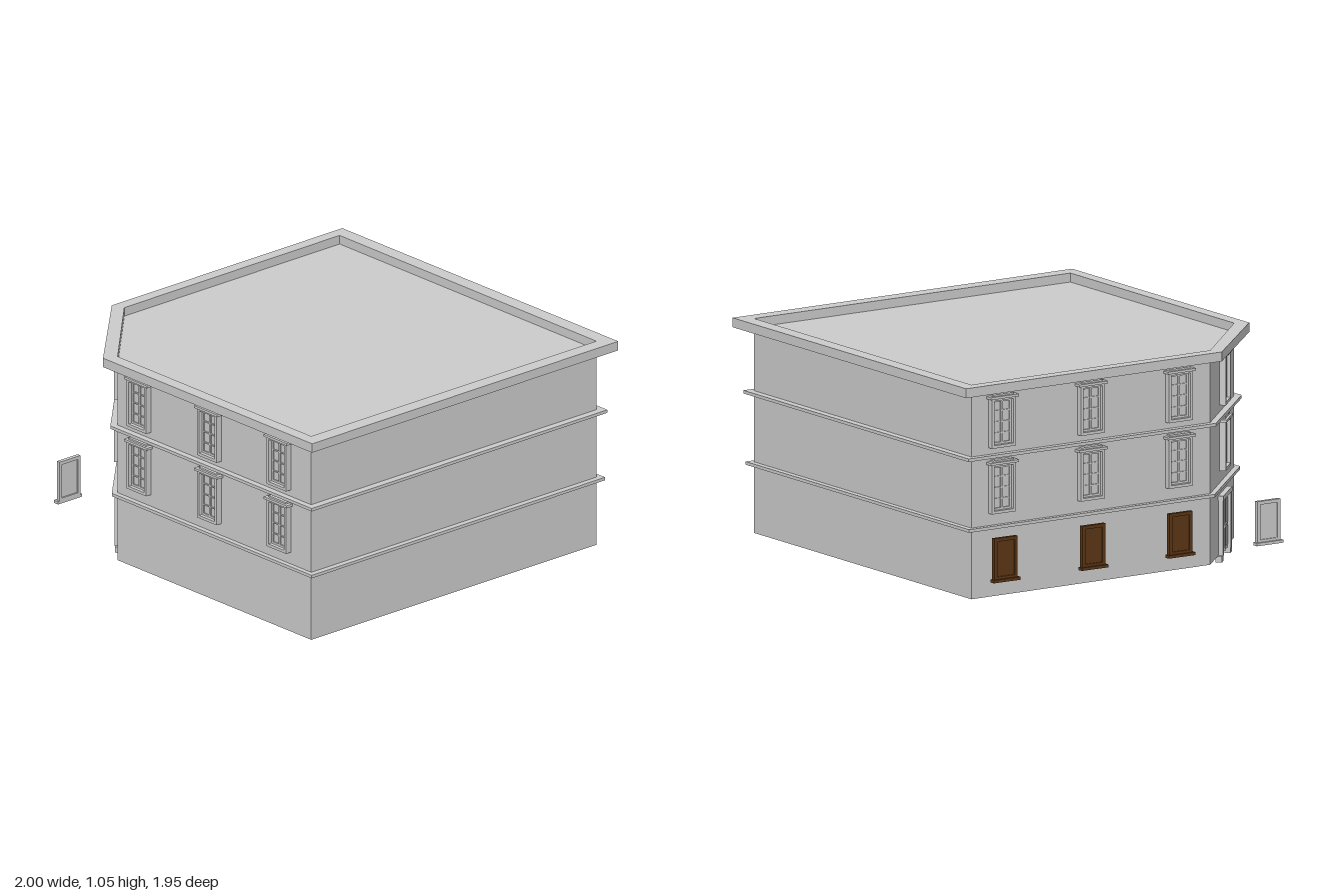
import * as THREE from 'three';

const stone = new THREE.MeshStandardMaterial({ color: 0xcccccc });
stone.name = 'stone grey';
const wood = new THREE.MeshStandardMaterial({ color: 0x5c3616 });
wood.name = 'dark brown wood';

// Plan corners as [x, z]: wall line and parapet line
const WALL = [[-0.885, -0.88], [-0.87, 0.475], [-0.43, 0.905], [0.92, 0.89], [0.905, -0.9]];
const EAVE = [[-0.945, -0.95], [-0.93, 0.5], [-0.46, 0.97], [0.995, 0.95], [0.975, -0.975]];

const between = (t) => WALL.map(([x, z], i) => [
  x + (EAVE[i][0] - x) * t, z + (EAVE[i][1] - z) * t]);
const points = (plan) => plan.map(([x, z]) => new THREE.Vector2(x, -z));

// Vertical prism over a plan, optionally hollow
function slab(name, plan, y0, y1, hole) {
  const shape = new THREE.Shape(points(plan));
  if (hole) shape.holes.push(new THREE.Path(points(hole)));
  const geo = new THREE.ExtrudeGeometry(shape, { depth: y1 - y0, bevelEnabled: false });
  geo.rotateX(-Math.PI / 2).translate(0, y0, 0);
  const mesh = new THREE.Mesh(geo, stone);
  mesh.name = name;
  return mesh;
}

function box(parent, name, w, h, d, x, y, z, mat = stone) {
  const mesh = new THREE.Mesh(new THREE.BoxGeometry(w, h, d), mat);
  mesh.position.set(x, y, z);
  mesh.name = name;
  parent.add(mesh);
}

// Rectangular frame standing on y = 0, from z0 to z0 + depth
function frame(parent, name, w, h, bar, z0, depth, mat = stone) {
  const shape = new THREE.Shape();
  shape.moveTo(-w / 2, 0).lineTo(w / 2, 0).lineTo(w / 2, h).lineTo(-w / 2, h).closePath();
  const hole = new THREE.Path(), a = w / 2 - bar;
  hole.moveTo(-a, bar).lineTo(-a, h - bar).lineTo(a, h - bar).lineTo(a, bar).closePath();
  shape.holes.push(hole);
  const geo = new THREE.ExtrudeGeometry(shape, { depth, bevelEnabled: false });
  geo.translate(0, 0, z0);
  const mesh = new THREE.Mesh(geo, mat);
  mesh.name = name;
  parent.add(mesh);
}

// Sash window with glazing bars and a stepped hood, facing local +z
function makeWindow() {
  const g = new THREE.Group();
  g.name = 'window';
  frame(g, 'windowFrame', 0.136, 0.24, 0.014, -0.005, 0.035);
  box(g, 'windowPane', 0.11, 0.214, 0.005, 0, 0.12, 0.003);
  frame(g, 'windowSash', 0.108, 0.212, 0.01, 0.004, 0.008);
  g.children[2].position.y = 0.014;
  box(g, 'centreBar', 0.01, 0.2, 0.008, 0, 0.12, 0.008);
  for (let i = 1; i < 4; i++) {
    box(g, 'glazingBar', 0.1, 0.006, 0.006, 0, 0.014 + i * 0.053, 0.008);
  }
  box(g, 'hood', 0.16, 0.012, 0.042, 0, 0.241, 0.016);
  box(g, 'hoodCap', 0.12, 0.008, 0.03, 0, 0.251, 0.01);
  return g;
}

// Entrance with double doors, jambs on small plinth blocks
function makeEntrance() {
  const g = new THREE.Group();
  g.name = 'entrance';
  for (const s of [-1, 1]) {
    box(g, 'plinthBlock', 0.036, 0.03, 0.03, s * 0.11, 0.015, 0.005);
    box(g, 'doorJamb', 0.026, 0.272, 0.03, s * 0.1, 0.164, 0.008);
    box(g, 'doorLeaf', 0.08, 0.262, 0.008, s * 0.043, 0.161, 0.004);
    for (const [y, h] of [[0.095, 0.09], [0.215, 0.12]]) {
      box(g, 'doorPanel', 0.05, h, 0.006, s * 0.043, y, 0.009);
    }
    box(g, 'doorHandle', 0.022, 0.006, 0.008, s * 0.018, 0.158, 0.016);
  }
  box(g, 'doorMeetingStile', 0.01, 0.262, 0.008, 0, 0.161, 0.009);
  box(g, 'doorLintel', 0.23, 0.022, 0.034, 0, 0.304, 0.008);
  return g;
}

// Free-standing framed panel beside the ground floor
function makePanel(mat) {
  const g = new THREE.Group();
  g.name = 'framedPanel';
  frame(g, 'panelFrame', 0.13, 0.2, 0.016, -0.015, 0.02, mat);
  box(g, 'panelBoard', 0.1, 0.17, 0.006, 0, 0.1, -0.004, mat);
  box(g, 'panelSill', 0.15, 0.014, 0.03, 0, -0.003, 0, mat);
  return g;
}

// Put a part on a wall: i is the starting corner, t the fraction along it
function onWall(part, i, t, y) {
  const [ax, az] = WALL[i], [bx, bz] = WALL[i + 1];
  part.position.set(ax + (bx - ax) * t, y, az + (bz - az) * t);
  part.rotation.y = Math.atan2(az - bz, bx - ax);
  return part;
}

export function createModel() {
  const model = new THREE.Group();
  model.name = 'cornerBuilding';

  // Body, string courses and parapet
  model.add(
    slab('walls', WALL, 0.03, 1.012),
    slab('lowerStringCourse', between(0.4), 0.355, 0.37, between(-0.1)),
    slab('upperStringCourse', between(0.5), 0.695, 0.71, between(-0.1)),
    slab('parapet', EAVE, 1.01, 1.055, WALL));

  // Windows on the left, corner and front walls
  const slots = [[0.122, 0.494, 0.863], [0.5], [0.122, 0.485, 0.844]];
  for (const y of [0.428, 0.742]) {
    slots.forEach((list, wall) => list.forEach((t) => model.add(onWall(makeWindow(), wall, t, y))));
  }

  model.add(onWall(makeEntrance(), 1, 0.52, 0));

  // Row of loose panels along the side
  [-0.755, -0.26, 0.23, 0.725].forEach((z, i) => {
    const panel = makePanel(i < 3 ? wood : stone);
    panel.position.set(-0.985, 0.13, z);
    panel.rotation.y = -Math.PI / 2;
    model.add(panel);
  });

  return model;
}
